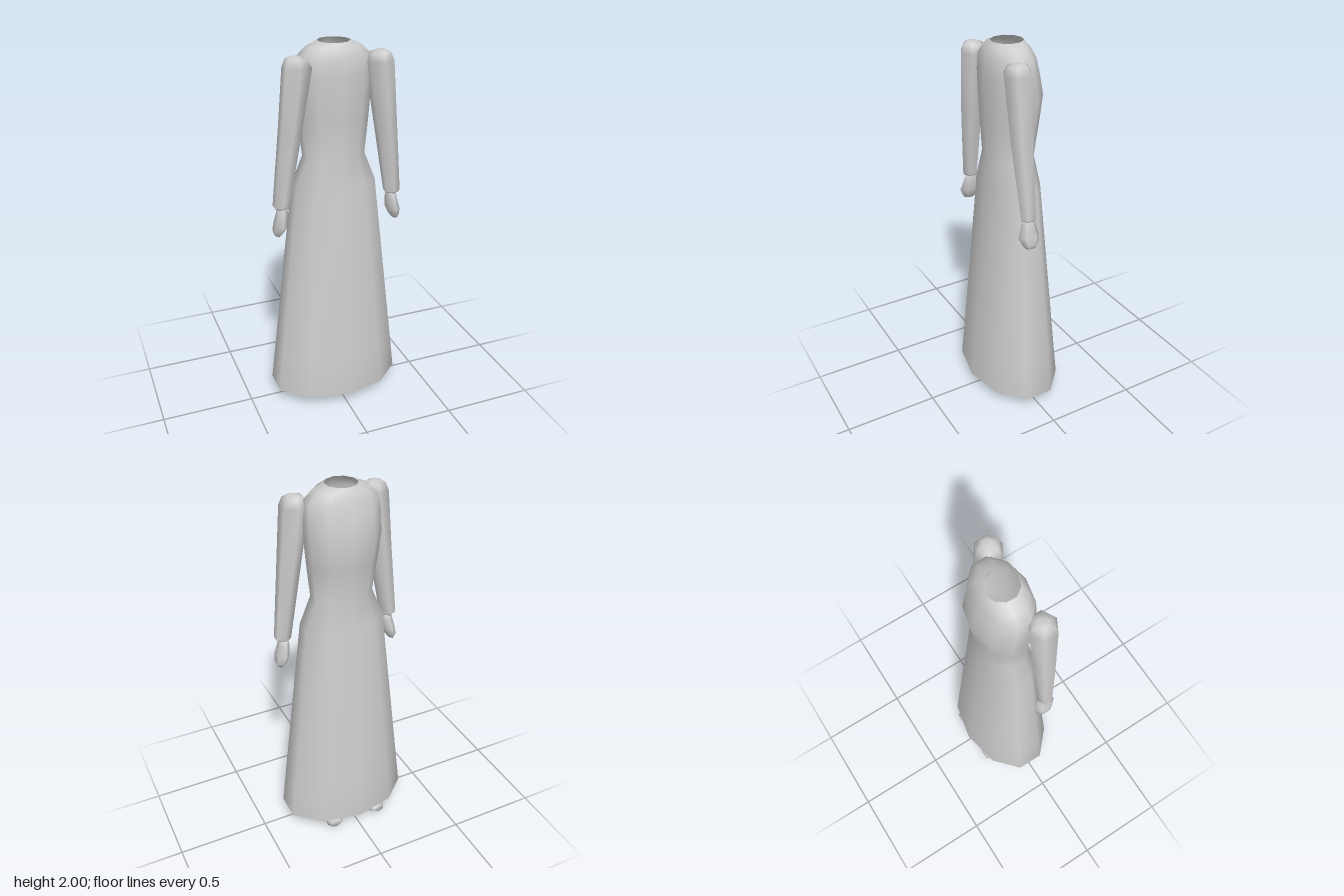
import * as THREE from 'three';

const cloth = new THREE.MeshStandardMaterial({ color: 0xcccccc, side: THREE.DoubleSide });
cloth.name = 'plain grey';

// Skin a list of rings (arrays of [x, y, z], same count), with optional end caps.
function loft(rings, capStart, capEnd) {
  const n = rings[0].length, pos = rings.flat(2), idx = [];
  for (let r = 0; r < rings.length - 1; r++) {
    for (let i = 0; i < n; i++) {
      const a = r * n + i, b = r * n + (i + 1) % n;
      idx.push(a, a + n, b, b, a + n, b + n);
    }
  }
  const last = (rings.length - 1) * n;
  for (let i = 1; i < n - 1; i++) {
    if (capStart) idx.push(0, i, i + 1);
    if (capEnd) idx.push(last, last + i + 1, last + i);
  }
  const g = new THREE.BufferGeometry();
  g.setAttribute('position', new THREE.Float32BufferAttribute(pos, 3));
  g.setIndex(idx);
  g.computeVertexNormals();
  return g;
}

// Horizontal ring between given x and z limits; corners point along z.
function ring(n, y, x0, x1, z0, z1) {
  const pts = [], widest = n % 4 === 2 ? Math.cos(Math.PI / n) : 1;
  for (let i = 0; i < n; i++) {
    const t = i / n * Math.PI * 2;
    pts.push([(x0 + x1) / 2 + Math.sin(t) * (x1 - x0) / 2 / widest, y,
      (z0 + z1) / 2 + Math.cos(t) * (z1 - z0) / 2]);
  }
  return pts;
}

function part(name, geometry) {
  const m = new THREE.Mesh(geometry, cloth);
  m.name = name;
  return m;
}

// Mirror a geometry across x, restoring the winding.
function mirrored(g) {
  const m = g.clone().scale(-1, 1, 1), a = m.index.array;
  for (let i = 0; i < a.length; i += 3) [a[i], a[i + 1]] = [a[i + 1], a[i]];
  m.computeVertexNormals();
  return m;
}

export function createModel() {
  const group = new THREE.Group();

  // Gown from neck to hem, with a turned-in lip: y, half width, back z, front z
  const gown = [
    [2.0, 0.078, -0.076, 0.088], [1.975, 0.135, -0.092, 0.108],
    [1.93, 0.18, -0.112, 0.128], [1.85, 0.19, -0.132, 0.135],
    [1.74, 0.188, -0.157, 0.135], [1.6, 0.176, -0.14, 0.13],
    [1.42, 0.157, -0.116, 0.122], [1.27, 0.217, -0.138, 0.14],
    [0.3, 0.325, -0.222, 0.222], [0.07, 0.35, -0.243, 0.243],
    [0.1, 0.33, -0.225, 0.225],
  ];
  group.add(part('gown', loft(gown.map(([y, x, b, f]) => ring(10, y, -x, x, b, f)))));

  // Sleeve with a rounded shoulder: y, inner x, outer x, back z, front z
  const sleeve = loft([
    [1.952, 0.2, 0.245, 0.05, 0.1], [1.94, 0.17, 0.263, 0.022, 0.128],
    [1.9, 0.148, 0.277, 0.005, 0.146], [1.6, 0.2, 0.305, 0.012, 0.134],
    [1.2, 0.268, 0.346, 0.022, 0.106], [1.19, 0.275, 0.338, 0.03, 0.1],
  ].map(r => ring(6, ...r)), true, true);

  // Hand, flat and tapering to the fingertips
  const hand = loft([
    [1.2, 0.28, 0.325, 0.035, 0.095], [1.16, 0.278, 0.33, 0.025, 0.105],
    [1.1, 0.284, 0.344, 0.006, 0.124], [1.06, 0.302, 0.35, 0.014, 0.105],
    [1.04, 0.315, 0.344, 0.028, 0.09],
  ].map(r => ring(6, ...r)), true, true);

  // Shoe, splayed outward: z, centre x, half width, bottom y, top y
  const shoe = loft([
    [0.11, 0.09, 0.022, 0.025, 0.075], [0.06, 0.094, 0.044, 0.014, 0.115],
    [-0.04, 0.102, 0.054, 0.01, 0.12], [-0.13, 0.12, 0.056, 0.004, 0.09],
    [-0.19, 0.135, 0.044, 0, 0.07], [-0.216, 0.14, 0.028, 0.015, 0.06],
  ].map(([z, x, w, b, t]) =>
    ring(6, 0, x - w, x + w, b, t).map(p => [p[0], p[2], z])), true, true);
  // Rings run along -z here, so flip to face outward
  const a = shoe.index.array;
  for (let i = 0; i < a.length; i += 3) [a[i], a[i + 1]] = [a[i + 1], a[i]];
  shoe.computeVertexNormals();

  for (const [name, g] of [['Sleeve', sleeve], ['Hand', hand], ['Shoe', shoe]]) {
    group.add(part('left' + name, g), part('right' + name, mirrored(g)));
  }
  return group;
}
